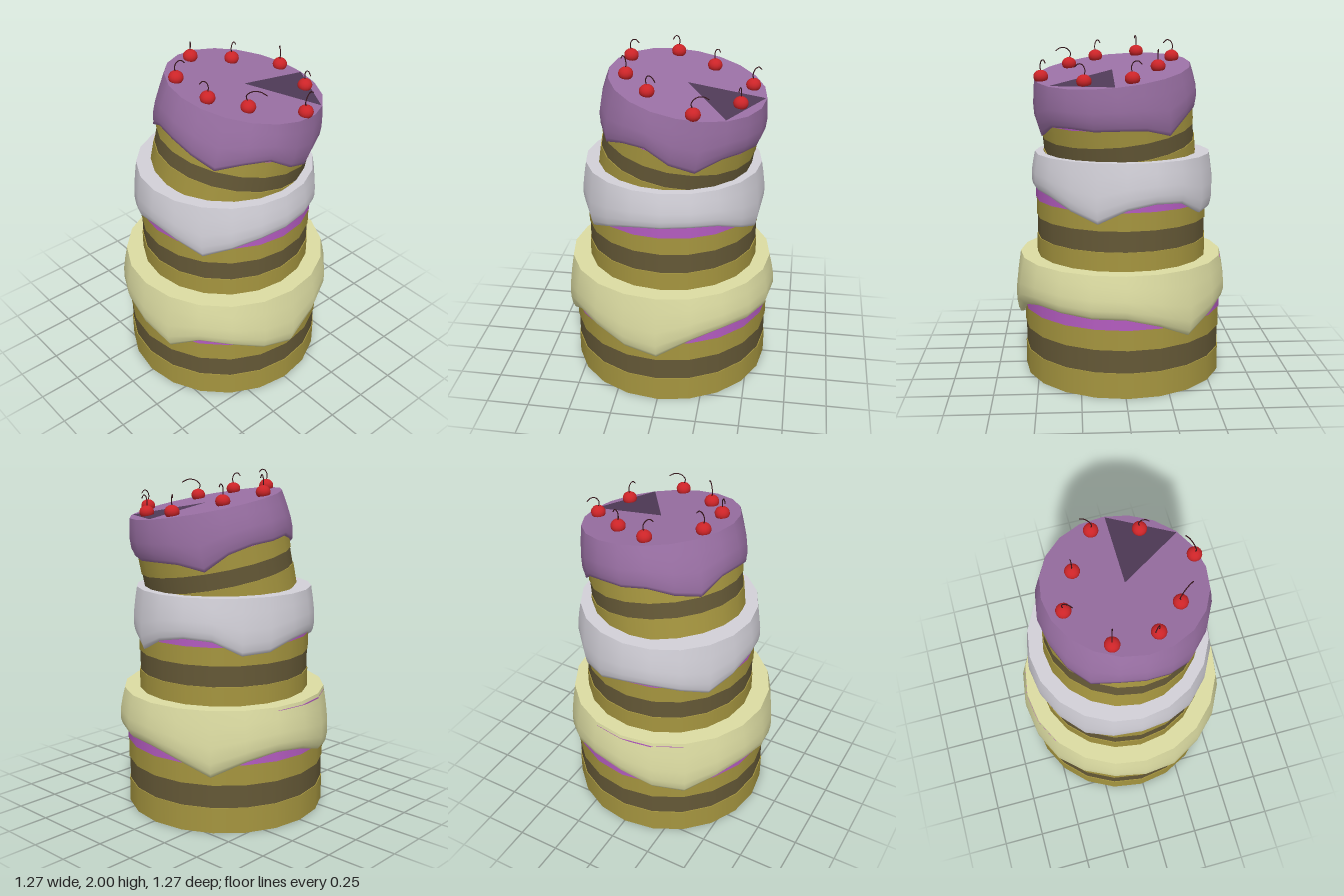
import * as THREE from 'three';

const SIDES = 20;
const mat = (color, opts = {}) => new THREE.MeshStandardMaterial({ color, ...opts });
const sponge = mat(0xa5953f), chocolate = mat(0x645836), jam = mat(0xb45cc0);

function add(parent, name, geometry, material) {
  const mesh = new THREE.Mesh(geometry, material);
  mesh.name = name;
  parent.add(mesh);
  return mesh;
}

// Stack of sponge layers; levels are the heights between them
function addLayers(parent, radius, levels, x = 0, z = 0) {
  const kinds = [['sponge', sponge, 0], ['chocolateLayer', chocolate, -0.005], ['sponge', sponge, 0], ['filling', jam, 0.003]];
  kinds.forEach(([name, material, inset], i) => {
    const h = levels[i + 1] - levels[i];
    const geo = new THREE.CylinderGeometry(radius + inset, radius + inset, h, SIDES);
    add(parent, name, geo, material).position.set(x, levels[i] + h / 2, z);
  });
}

// Icing: flat top and a bulging skirt whose lower edge follows the drip heights
function addIcing(parent, rTop, bulge, rEnd, top, drips, color, x = 0, z = 0) {
  const profile = [[0, rTop], [0.25, rTop + bulge * 0.5], [0.55, rTop + bulge * 0.95], [0.78, rTop + bulge],
    [0.93, rTop + bulge * 0.65], [1, rEnd + 0.012], [0.985, rEnd - 0.01]];
  const pos = [], index = [];
  profile.forEach(([t, r], i) => {
    for (let j = 0; j < SIDES; j++) {
      const a = j / SIDES * Math.PI * 2;
      pos.push(Math.sin(a) * r, top + (drips[j] - top) * t, Math.cos(a) * r);
      if (i === profile.length - 1) continue;
      const k = (j + 1) % SIDES, p = i * SIDES, q = p + SIDES;
      index.push(p + j, q + j, q + k, p + j, q + k, p + k);
    }
  });
  const skirt = new THREE.BufferGeometry();
  skirt.setAttribute('position', new THREE.Float32BufferAttribute(pos, 3));
  skirt.setIndex(index);
  skirt.computeVertexNormals();
  const material = mat(color, { side: THREE.DoubleSide });
  add(parent, 'icingSkirt', skirt, material).position.set(x, 0, z);
  const cap = add(parent, 'icingTop', new THREE.CircleGeometry(rTop, SIDES).rotateX(-Math.PI / 2), material);
  cap.position.set(x, top, z);
}

function tier(root, name) {
  const group = new THREE.Group();
  group.name = name;
  root.add(group);
  return group;
}

export function createModel() {
  const root = new THREE.Group();
  root.name = 'tieredCake';

  const bottom = tier(root, 'bottomTier');
  addLayers(bottom, 0.595, [0, 0.15, 0.285, 0.405, 0.7], -0.012);
  addIcing(bottom, 0.605, 0.03, 0.598, 0.72, [0.41, 0.345, 0.45, 0.43, 0.37, 0.33, 0.44, 0.485, 0.48, 0.47,
    0.47, 0.42, 0.335, 0.42, 0.46, 0.44, 0.38, 0.345, 0.42, 0.45], 0xdcdca2);

  const middle = tier(root, 'middleTier');
  addLayers(middle, 0.508, [0.7, 0.83, 0.95, 1.055, 1.31], -0.005, -0.01);
  addIcing(middle, 0.518, 0.022, 0.512, 1.33, [1.1, 1.07, 1.0, 1.06, 1.105, 1.12, 1.125, 1.11, 1.05, 0.99,
    1.07, 1.1, 1.09, 1.01, 1.02, 1.07, 1.08, 1.05, 1.0, 1.06], 0xd2d0d8, -0.01, -0.012);

  // Leaning top tier
  const upper = tier(root, 'topTier');
  upper.position.set(0.005, 1.33, -0.025);
  upper.quaternion.setFromUnitVectors(new THREE.Vector3(0, 1, 0), new THREE.Vector3(0.1, 1, -0.157).normalize());
  addLayers(upper, 0.448, [-0.06, 0.06, 0.155, 0.255, 0.46]);
  addIcing(upper, 0.45, 0.026, 0.452, 0.487, [0.24, 0.21, 0.17, 0.24, 0.27, 0.21, 0.18, 0.26, 0.27, 0.255,
    0.25, 0.23, 0.17, 0.24, 0.26, 0.25, 0.25, 0.2, 0.165, 0.24], 0x9a70a4);
  // Slice mark in the icing
  const slice = new THREE.CircleGeometry(0.443, 1, 0, 1);
  const wedge = new THREE.BufferGeometry().setFromPoints([35, 89].reduce((pts, deg) => {
    const a = deg * Math.PI / 180;
    pts.push(new THREE.Vector3(Math.cos(a) * 0.443, 0.489, -Math.sin(a) * 0.443));
    return pts;
  }, [new THREE.Vector3(0, 0.489, 0)]));
  slice.dispose();
  wedge.computeVertexNormals();
  add(upper, 'sliceMark', wedge, mat(0x4f3a57));

  // Cherries: x, z and the direction the stem hooks towards
  const cherries = [[-0.04, -0.46, -0.05, -0.04], [0.22, -0.41, 0.05, 0.01], [0.46, -0.18, -0.03, -0.08],
    [0.3, 0.09, 0.08, -0.06], [0.14, 0.235, -0.03, 0.03], [-0.11, 0.25, 0.015, -0.05],
    [-0.3, 0, 0.045, 0.03], [-0.2, -0.225, 0, -0.03]];
  const red = mat(0xcc2428), brown = mat(0x35141a);
  for (const [x, z, dx, dz] of cherries) {
    const cherry = tier(root, 'cherry');
    cherry.position.set(x, 1.832 - 0.1 * (x - 0.05) + 0.157 * (z + 0.09), z);
    add(cherry, 'fruit', new THREE.SphereGeometry(0.042, 16, 12), red).scale.y = 0.9;
    const path = new THREE.CatmullRomCurve3([[0, 0.028, 0], [-dx * 0.12, 0.06, -dz * 0.12], [dx * 0.15, 0.088, dz * 0.15],
      [dx * 0.6, 0.094, dz * 0.6], [dx, 0.076, dz]].map(p => new THREE.Vector3(...p)));
    add(cherry, 'stem', new THREE.TubeGeometry(path, 14, 0.003, 6), brown);
  }
  return root;
}
